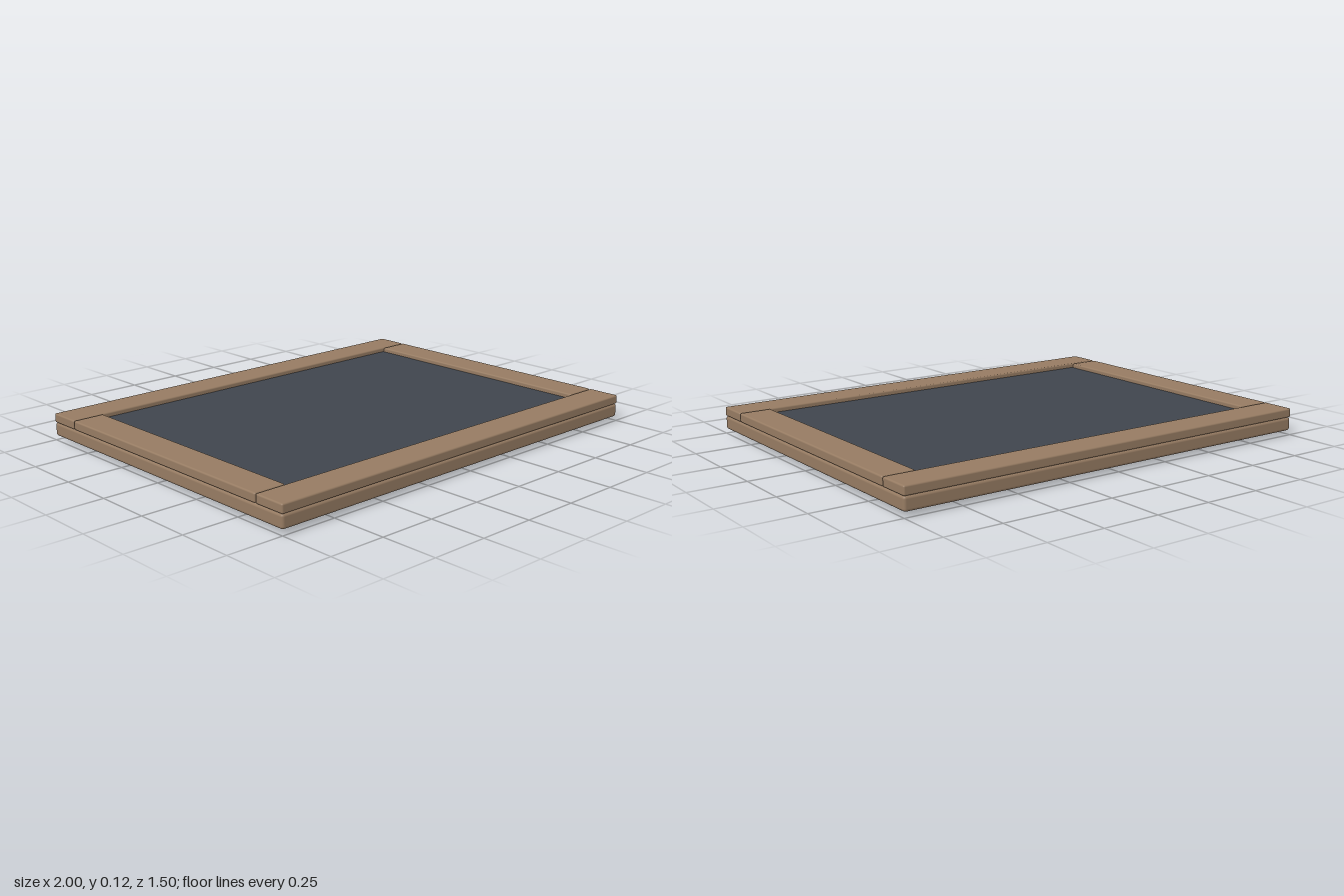
import * as THREE from 'three';
import { RoundedBoxGeometry } from 'three/addons/geometries/RoundedBoxGeometry.js';

const wood = new THREE.MeshStandardMaterial({ color: 0x967b62 });
const slate = new THREE.MeshStandardMaterial({ color: 0x3f454d });
const rubber = new THREE.MeshStandardMaterial({ color: 0x222222 });

export function createModel() {
  const model = new THREE.Group();
  model.name = 'framedTray';

  const add = (name, geometry, material, x, y, z) => {
    const mesh = new THREE.Mesh(geometry, material);
    mesh.name = name;
    mesh.position.set(x, y, z);
    model.add(mesh);
  };
  const rounded = (w, h, d, r) => new RoundedBoxGeometry(w, h, d, 3, r);

  // Base board
  add('baseBoard', rounded(2, 0.06, 1.5, 0.012), wood, 0, 0.05, 0);

  // Recessed writing surface
  add('surfacePanel', new THREE.BoxGeometry(1.71, 0.02, 1.2), slate, 0, 0.09, 0);

  // Frame: full-length front and back rails, shorter side rails between them
  for (const s of [1, -1]) {
    add(s > 0 ? 'frontRail' : 'backRail', rounded(2, 0.04, 0.148, 0.007), wood, 0, 0.1, s * 0.676);
    add(s > 0 ? 'leftRail' : 'rightRail', rounded(0.145, 0.04, 1.196, 0.007), wood, s * 0.9275, 0.1, 0);
  }

  // Square feet near the corners
  for (const x of [1, -1]) {
    for (const z of [1, -1]) {
      const name = (z > 0 ? 'front' : 'back') + (x > 0 ? 'Left' : 'Right') + 'Foot';
      add(name, new THREE.BoxGeometry(0.12, 0.025, 0.12), rubber, x * 0.85, 0.0125, z * 0.6);
    }
  }
  return model;
}
